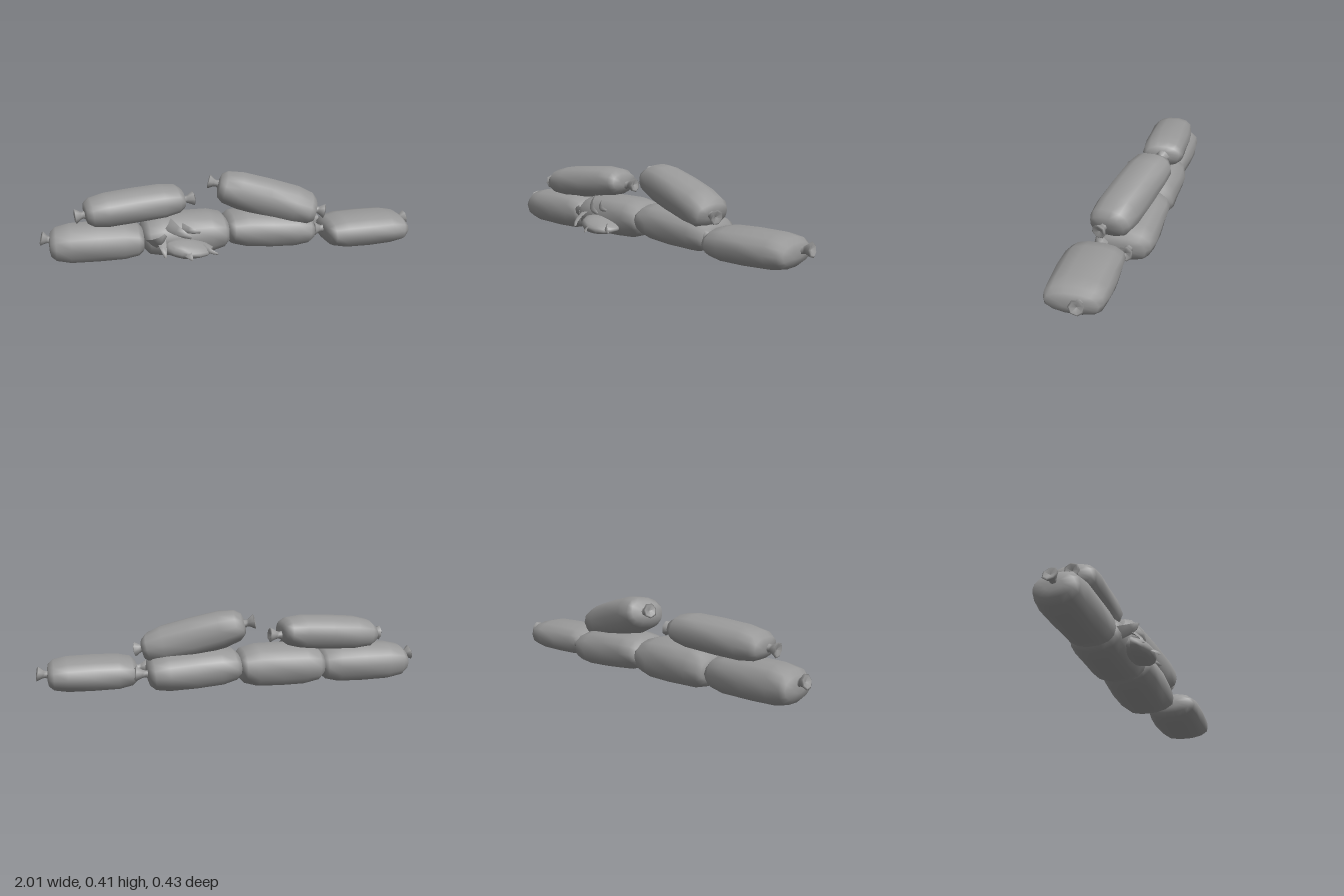
import * as THREE from 'three';

const cloth = new THREE.MeshStandardMaterial({ color: 0x999999, side: THREE.DoubleSide });
cloth.name = 'grey cloth';

const V = (p) => new THREE.Vector3(...p);

// Filled sack: blunt-ended loft along x, [position, height scale, width scale]
const SECTIONS = [
  [-0.5, 0.25, 0.35], [-0.485, 0.55, 0.8], [-0.43, 0.8, 0.93], [-0.28, 0.97, 0.98], [0, 1, 1],
  [0.28, 0.97, 0.99], [0.43, 0.8, 0.95], [0.485, 0.55, 0.82], [0.5, 0.25, 0.35],
];
function sackGeometry(length, halfH, halfW, seed) {
  const N = 14, pos = [], idx = [];
  SECTIONS.forEach(([t, sh, sw], i) => {
    for (let j = 0; j < N; j++) {
      const a = (j / N) * Math.PI * 2, c = Math.cos(a), s = Math.sin(a);
      const lump = 1 + 0.025 * Math.sin(i * 2.1 + j * 1.7 + seed);
      const y = Math.sign(s) * Math.abs(s) ** 0.85 * halfH * sh;
      const z = Math.sign(c) * Math.abs(c) ** 0.85 * halfW * sw * lump;
      pos.push(t * length, y, z);
    }
  });
  for (let i = 0; i < SECTIONS.length - 1; i++) {
    for (let j = 0; j < N; j++) {
      const a = i * N + j, b = i * N + (j + 1) % N;
      idx.push(a, a + N, b, b, a + N, b + N);
    }
  }
  // end caps
  const last = (SECTIONS.length - 1) * N;
  pos.push(-length / 2, 0, 0, length / 2, 0, 0);
  const c0 = last + N;
  for (let j = 0; j < N; j++) {
    const k = (j + 1) % N;
    idx.push(c0, j, k, c0 + 1, last + k, last + j);
  }
  const g = new THREE.BufferGeometry();
  g.setAttribute('position', new THREE.Float32BufferAttribute(pos, 3));
  g.setIndex(idx);
  // the winding must face outward, away from the axis
  const p = g.attributes.position, mid = 4 * N;
  const n = new THREE.Triangle(
    new THREE.Vector3().fromBufferAttribute(p, mid), new THREE.Vector3().fromBufferAttribute(p, mid + N),
    new THREE.Vector3().fromBufferAttribute(p, mid + 1)).getNormal(new THREE.Vector3());
  if (n.z < 0) g.setIndex(idx.reverse());
  g.computeVertexNormals();
  return g;
}

function sack(name, from, to, halfH, halfW, roll = 0, seed = 0) {
  const a = V(from), b = V(to), d = b.clone().sub(a);
  const mesh = new THREE.Mesh(sackGeometry(d.length(), halfH, halfW, seed), cloth);
  mesh.name = name;
  mesh.position.copy(a).add(b).multiplyScalar(0.5);
  mesh.rotation.set(roll, Math.atan2(-d.z, d.x), Math.atan2(d.y, Math.hypot(d.x, d.z)), 'YZX');
  return mesh;
}

// Gathered sack end: pinched neck opening to a flared tip
function tie(from, to) {
  const a = V(from), d = V(to).sub(a), L = d.length();
  const profile = [[0.03, -0.02], [0.018, L * 0.3], [0.022, L * 0.5], [0.039, L * 0.92], [0.03, L], [0, L * 0.8]]
    .map(([r, y]) => new THREE.Vector2(r, y));
  const mesh = new THREE.Mesh(new THREE.LatheGeometry(profile, 7), cloth);
  mesh.name = 'tiedEnd';
  mesh.position.copy(a);
  mesh.quaternion.setFromUnitVectors(new THREE.Vector3(0, 1, 0), d.normalize());
  return mesh;
}

// Torn scrap of cloth: bent strip from a wide base to a narrow tip
function scrap(base, tip, width, lift) {
  const a = V(base), b = V(tip);
  const side = b.clone().sub(a).cross(new THREE.Vector3(0, 0, 1)).normalize();
  const pos = [], idx = [];
  for (let i = 0; i <= 3; i++) {
    const t = i / 3, c = a.clone().lerp(b, t);
    c.z += lift * Math.sin(t * Math.PI);
    const w = width * (1 - 0.75 * t) / 2;
    for (const s of [-1, 0, 1]) {
      pos.push(c.x + side.x * w * s, c.y + side.y * w * s, c.z + (s ? 0 : 0.012));
    }
  }
  for (let i = 0; i < 3; i++) {
    for (let j = 0; j < 2; j++) {
      const k = i * 3 + j;
      idx.push(k, k + 1, k + 3, k + 1, k + 4, k + 3);
    }
  }
  const g = new THREE.BufferGeometry();
  g.setAttribute('position', new THREE.Float32BufferAttribute(pos, 3));
  g.setIndex(idx);
  g.computeVertexNormals();
  const mesh = new THREE.Mesh(g, cloth);
  mesh.name = 'tornCloth';
  return mesh;
}

// Lumpy heap of spilled filling
function spill() {
  const g = new THREE.SphereGeometry(1, 16, 10), p = g.attributes.position;
  for (let i = 0; i < p.count; i++) {
    const x = p.getX(i), y = p.getY(i), z = p.getZ(i);
    const k = 1 + 0.09 * Math.sin(7 * x + 2 * y) * Math.cos(6 * z) * (1 - y * y);
    p.setXYZ(i, x * k, y * (1 - 0.25 * x), z * k);
  }
  g.scale(0.125, 0.042, 0.09);
  g.computeVertexNormals();
  const mesh = new THREE.Mesh(g, cloth);
  mesh.name = 'spilledFilling';
  mesh.position.set(-0.26, 0.075, 0.1);
  mesh.rotation.set(0.15, 0, -0.1);
  return mesh;
}

export function createModel() {
  const group = new THREE.Group();
  group.name = 'sandbagWall';

  // bottom row
  group.add(
    sack('bottomSackFarRight', [-0.96, 0.105, -0.035], [-0.475, 0.1, -0.035], 0.102, 0.122, 0, 0),
    sack('tornSack', [-0.485, 0.11, -0.045], [-0.025, 0.115, -0.06], 0.112, 0.142, 0, 2),
    sack('bottomSackLeft', [-0.04, 0.127, -0.05], [0.445, 0.092, -0.06], 0.102, 0.153, 0, 4),
    sack('bottomSackFarLeft', [0.49, 0.09, 0.035], [0.95, 0.09, 0.01], 0.089, 0.15, 0, 5),
  );
  // top row
  group.add(
    sack('topSackRight', [-0.775, 0.258, -0.035], [-0.255, 0.295, -0.085], 0.088, 0.115, 0, 1),
    sack('topSackLeft', [-0.06, 0.345, -0.1], [0.455, 0.205, 0.01], 0.1, 0.115, 0.1, 3),
  );
  // tied ends, neck to tip
  const ties = [
    [[-0.945, 0.125, -0.035], [-1, 0.14, -0.035]],
    [[0.935, 0.1, -0.025], [1, 0.11, -0.03]],
    [[0.5, 0.1, 0.03], [0.435, 0.105, 0.035]],
    [[0.43, 0.1, -0.1], [0.51, 0.105, -0.1]],
    [[-0.765, 0.255, -0.02], [-0.825, 0.25, -0.015]],
    [[-0.265, 0.275, -0.095], [-0.19, 0.28, -0.1]],
    [[-0.05, 0.345, -0.115], [-0.108, 0.36, -0.13]],
    [[0.44, 0.21, 0.02], [0.5, 0.2, 0.035]],
  ];
  for (const [a, b] of ties) group.add(tie(a, b));

  // rip in the torn sack and what fell out of it
  group.add(spill());
  const scraps = [
    [[-0.36, 0.2, 0.06], [-0.25, 0.14, 0.13], 0.07, 0.03],
    [[-0.45, 0.1, 0.07], [-0.38, 0.17, 0.14], 0.07, 0.03],
    [[-0.4, 0.13, 0.09], [-0.39, 0.06, 0.17], 0.05, 0.02],
    [[-0.29, 0.18, 0.07], [-0.2, 0.16, 0.11], 0.05, 0.02],
    [[-0.28, 0.08, 0.16], [-0.26, 0.05, 0.21], 0.05, 0.01],
    [[-0.19, 0.08, 0.12], [-0.12, 0.055, 0.17], 0.04, 0.01],
  ];
  for (const s of scraps) group.add(scrap(...s));
  return group;
}
